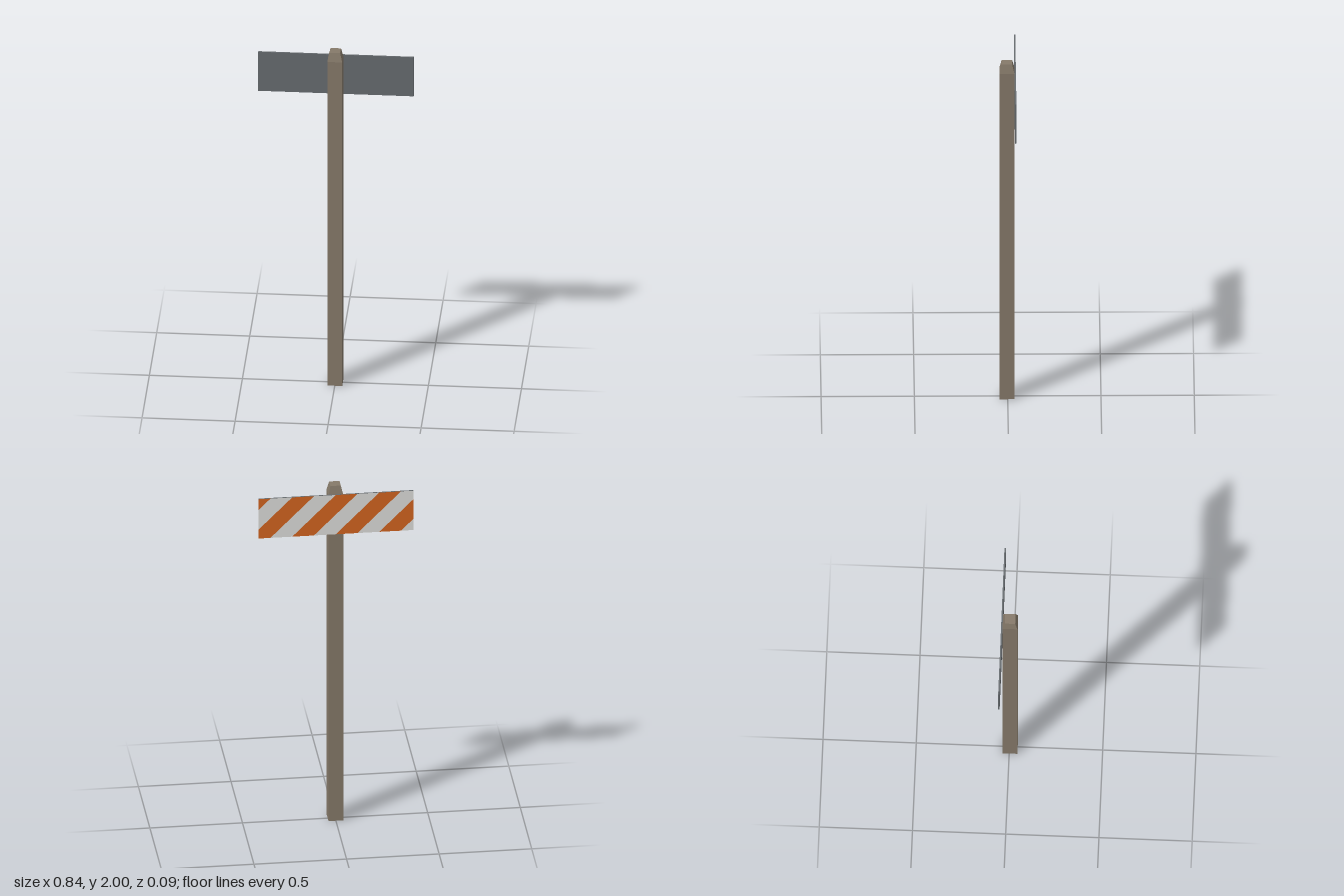
import * as THREE from 'three';

const flat = (color, name) => {
  const m = new THREE.MeshStandardMaterial({ color });
  m.name = name;
  return m;
};

export function createModel() {
  const wood = flat(0x857969, 'weathered wood');
  const steel = flat(0x666b6f, 'grey metal');
  const white = flat(0xdededb, 'white paint');
  const orange = flat(0xd4641f, 'orange paint');

  const model = new THREE.Group();
  model.name = 'barrierSign';
  const add = (name, geometry, material, x, y, z, parent = model) => {
    const mesh = new THREE.Mesh(geometry, material);
    mesh.name = name;
    mesh.position.set(x, y, z);
    parent.add(mesh);
    return mesh;
  };

  // Square post with a chamfered top: the middle row becomes the shoulder
  let post = new THREE.BoxGeometry(0.08, 2, 0.08, 1, 2, 1);
  const p = post.attributes.position;
  for (let i = 0; i < p.count; i++) {
    if (Math.abs(p.getY(i)) < 0.01) p.setY(i, 0.95);
    else if (p.getY(i) > 0.99) {
      p.setX(i, p.getX(i) * 0.7);
      p.setZ(i, p.getZ(i) * 0.7);
    }
  }
  post = post.toNonIndexed();
  post.computeVertexNormals();
  add('post', post, wood, 0, 1, 0.004);

  // Thin board fixed to the back of the post
  const W = 0.836, H = 0.235, boardY = 1.8375;
  add('board', new THREE.BoxGeometry(W, H, 0.008), steel, 0, boardY, -0.04);

  // Diagonal stripes on the rear face; each is a 45 degree band a..b clipped to the board
  const stripes = new THREE.Group();
  stripes.name = 'stripes';
  stripes.position.set(0, boardY, -0.0446);
  stripes.rotation.y = Math.PI;
  model.add(stripes);

  const upper = c => [Math.min(c, W), Math.max(0, c - W)];
  const lower = c => [Math.max(0, c - H), Math.min(c, H)];
  const half = H / 2, end = W + H;
  for (let k = 0; ; k++) {
    const start = (k - 0.46) * half;
    if (start >= end) break;
    const a = Math.max(0, start), b = Math.min(end, start + half);
    const pts = [upper(a)];
    if (a < W && W < b) pts.push([W, 0]);
    if (b < end) pts.push(upper(b));
    pts.push(lower(b));
    if (a < H && H < b) pts.push([0, H]);
    if (a > 0) pts.push(lower(a));
    const shape = new THREE.Shape(pts.map(([u, d]) => new THREE.Vector2(u - W / 2, H / 2 - d)));
    add(k % 2 ? 'whiteStripe' : 'orangeStripe', new THREE.ShapeGeometry(shape),
      k % 2 ? white : orange, 0, 0, 0, stripes);
  }
  return model;
}
